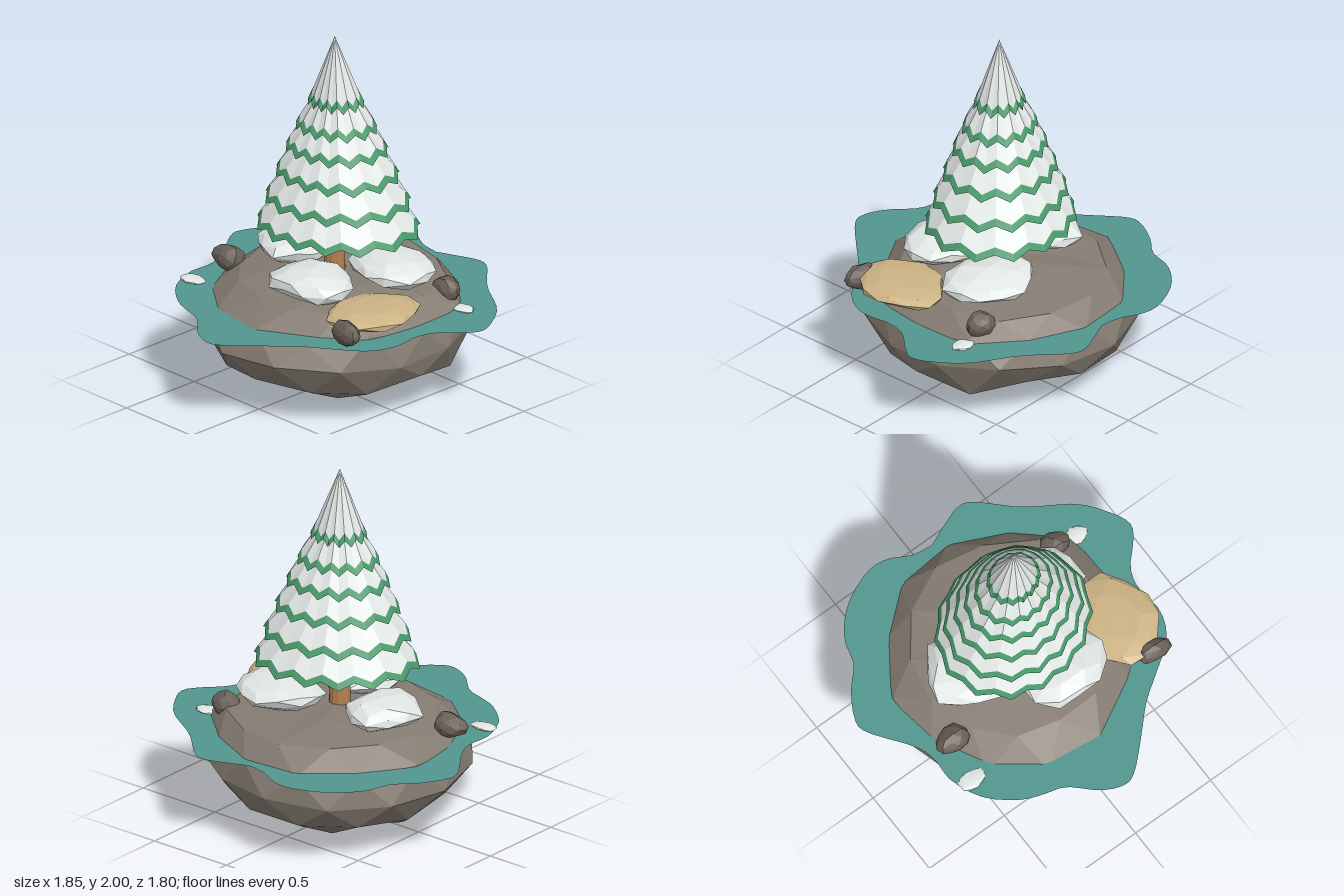
import * as THREE from 'three';

const flat = (name, color, side = THREE.FrontSide) =>
  Object.assign(new THREE.MeshStandardMaterial({ color, flatShading: true, side }), { name });

// Island and tree share this axis
const CX = -0.01, CZ = -0.07;

// Skin between rings of equal count, ordered so faces point outwards going up
function loft(rings) {
  const n = rings[0].length, pos = [], idx = [];
  rings.forEach(r => r.forEach(p => pos.push(...p)));
  for (let k = 0; k < rings.length - 1; k++) {
    for (let i = 0; i < n; i++) {
      const j = (i + 1) % n, l = k * n, u = l + n;
      idx.push(l + i, u + i, l + j, l + j, u + i, u + j);
    }
  }
  let g = new THREE.BufferGeometry();
  g.setAttribute('position', new THREE.Float32BufferAttribute(pos, 3));
  g.setIndex(idx);
  g = g.toNonIndexed();
  g.computeVertexNormals();
  return g;
}

function seeded(seed) {
  return () => {
    seed = (seed * 16807) % 2147483647;
    return seed / 2147483647 - 0.5;
  };
}

// Faceted lump with a gentle irregular surface
function lump(center, radii, seed, turn = 0, detail = 1) {
  const g = new THREE.IcosahedronGeometry(1, detail);
  const p = g.attributes.position, v = new THREE.Vector3();
  for (let i = 0; i < p.count; i++) {
    v.fromBufferAttribute(p, i);
    const k = 1 + 0.07 * Math.sin(v.x * 4 + seed) + 0.07 * Math.sin(v.z * 5 + seed * 2 + v.y * 2);
    p.setXYZ(i, v.x * k, v.y * k, v.z * k);
  }
  g.rotateY(turn);
  g.scale(...radii);
  g.translate(...center);
  g.computeVertexNormals();
  return g;
}

// Slightly stretched outline of the branches
const stretch = a => 1 + 0.065 * Math.cos(2 * a) - 0.038 * Math.sin(2 * a)
  + 0.02 * Math.cos(a) - 0.047 * Math.sin(a);

export function createModel() {
  const model = new THREE.Group();
  model.name = 'snowyIsland';
  const mats = {
    rock: flat('rock', 0x857c72),
    stone: flat('stone', 0x6a6058),
    snow: flat('snow', 0xe4eae8),
    needles: flat('needles', 0x4a9a6c),
    bark: flat('bark', 0xb58050),
    sand: flat('sand', 0xcdb385),
    water: flat('water', 0x52968f, THREE.DoubleSide),
  };
  const add = (name, geometry, mat, parent = model) => {
    const m = new THREE.Mesh(geometry, mats[mat]);
    m.name = name;
    parent.add(m);
    return m;
  };

  // Rock island: staggered irregular rings from the bottom point to the top
  const rnd = seeded(4711), N = 13;
  const levels = [[0, 0], [0.09, 0.42], [0.2, 0.64], [0.36, 0.735], [0.5, 0.69], [0.61, 0.56], [0.645, 0.3], [0.65, 0]];
  add('rockIsland', loft(levels.map(([y, r], k) => Array.from({ length: N }, (_, i) => {
    const a = (i + k * 0.5) / N * Math.PI * 2;
    const pole = r === 0 ? 0 : 1;
    const back = k === 5 ? -0.05 * Math.sin(a) : 0;
    const rr = r * (1 + 0.09 * rnd()) + back;
    const wobble = k > 4 ? 0.02 : 0.07;
    return [CX + Math.cos(a) * rr, y + pole * wobble * rnd(), CZ + Math.sin(a) * rr];
  }))), 'rock');

  // Water sheet with a wavy shoreline, x and z pairs
  const shore = [
    0, -0.81, 0.12, -0.86, 0.24, -0.9, 0.33, -0.87, 0.52, -0.69, 0.75, -0.54, 0.87, -0.39, 0.92, -0.27,
    0.87, -0.18, 0.77, -0.07, 0.735, 0.05, 0.75, 0.22, 0.68, 0.37, 0.52, 0.49, 0.38, 0.59, 0.25, 0.72,
    0.09, 0.87, 0, 0.895, -0.12, 0.84, -0.25, 0.72, -0.37, 0.68, -0.49, 0.63, -0.64, 0.5, -0.72, 0.32,
    -0.72, 0.17, -0.76, 0.05, -0.91, -0.16, -0.925, -0.26, -0.84, -0.41, -0.74, -0.52, -0.69, -0.67,
    -0.56, -0.81, -0.37, -0.895, -0.24, -0.89, -0.12, -0.83,
  ];
  const pts = [];
  for (let i = 0; i < shore.length; i += 2) pts.push(new THREE.Vector2(shore[i], shore[i + 1]));
  pts.push(pts[0].clone());
  const waterShape = new THREE.Shape(new THREE.SplineCurve(pts).getPoints(100).slice(0, -1));
  add('water', new THREE.ShapeGeometry(waterShape).rotateX(Math.PI / 2).translate(0, 0.515, 0), 'water');

  // Snow mounds, sand patch, stones and small ice floes
  [
    ['snowMoundLeft', [-0.33, 0.69, -0.09], [0.22, 0.078, 0.23], 1, 0.3],
    ['snowMoundBack', [0.26, 0.695, -0.24], [0.26, 0.075, 0.23], 2, 1.1],
    ['snowMoundFront', [0.11, 0.69, 0.2], [0.26, 0.08, 0.21], 3.5, 2.0],
    ['iceFloeBack', [0.64, 0.522, -0.39], [0.08, 0.012, 0.05], 0.5, 0],
    ['iceFloeFront', [-0.63, 0.522, 0.385], [0.085, 0.012, 0.05], 2.2, 0],
  ].forEach(([name, c, r, s, t]) => add(name, lump(c, r, s, t), 'snow'));
  add('sandPatch', lump([0.51, 0.62, 0.15], [0.21, 0.05, 0.26], 5, 0.6), 'sand');
  [
    [[-0.59, 0.595, 0.16], [0.1, 0.068, 0.075]],
    [[0.57, 0.595, 0.4], [0.1, 0.068, 0.062]],
    [[0.51, 0.595, -0.4], [0.09, 0.068, 0.068]],
  ].forEach(([c, r], i) => add('stone' + (i + 1), lump(c, r, i * 1.7, i), 'stone'));

  // Tree: trunk and pleated tiers with snow tops and green rims
  const tree = new THREE.Group();
  tree.name = 'tree';
  tree.position.set(CX, 0, CZ);
  model.add(tree);
  add('trunk', new THREE.CylinderGeometry(0.055, 0.058, 0.6, 12).translate(0, 0.9, 0), 'bark', tree);

  const teeth = 14;
  // Alternate points sit higher and further in, giving the zigzag edge
  const ring = (r, y, zig) => Array.from({ length: teeth * 2 }, (_, i) => {
    const a = i / (teeth * 2) * Math.PI * 2;
    const up = i % 2 ? zig : 0;
    const rr = r * stretch(a) * (1 - up);
    return [Math.cos(a) * rr, y + up * 0.75, Math.sin(a) * rr];
  });
  // radius, lowest height, top height
  const tiers = [
    [0.428, 0.885, 1.38], [0.382, 1.037, 1.52], [0.325, 1.19, 1.64],
    [0.27, 1.335, 1.74], [0.215, 1.46, 1.84], [0.148, 1.6, 2],
  ];
  tiers.forEach(([r, y, top], i) => {
    const tier = new THREE.Group();
    tier.name = 'branchTier' + (i + 1);
    tree.add(tier);
    const edge = ring(r, y, 0.05), snowLine = ring(r - 0.02, y + 0.037, 0.05);
    add('snowCover', loft([snowLine, ring(0, top, 0)]), 'snow', tier);
    add('greenRim', loft([edge, snowLine]), 'needles', tier);
    add('underside', loft([ring(0, top - 0.05, 0), edge]), 'needles', tier);
  });
  return model;
}
